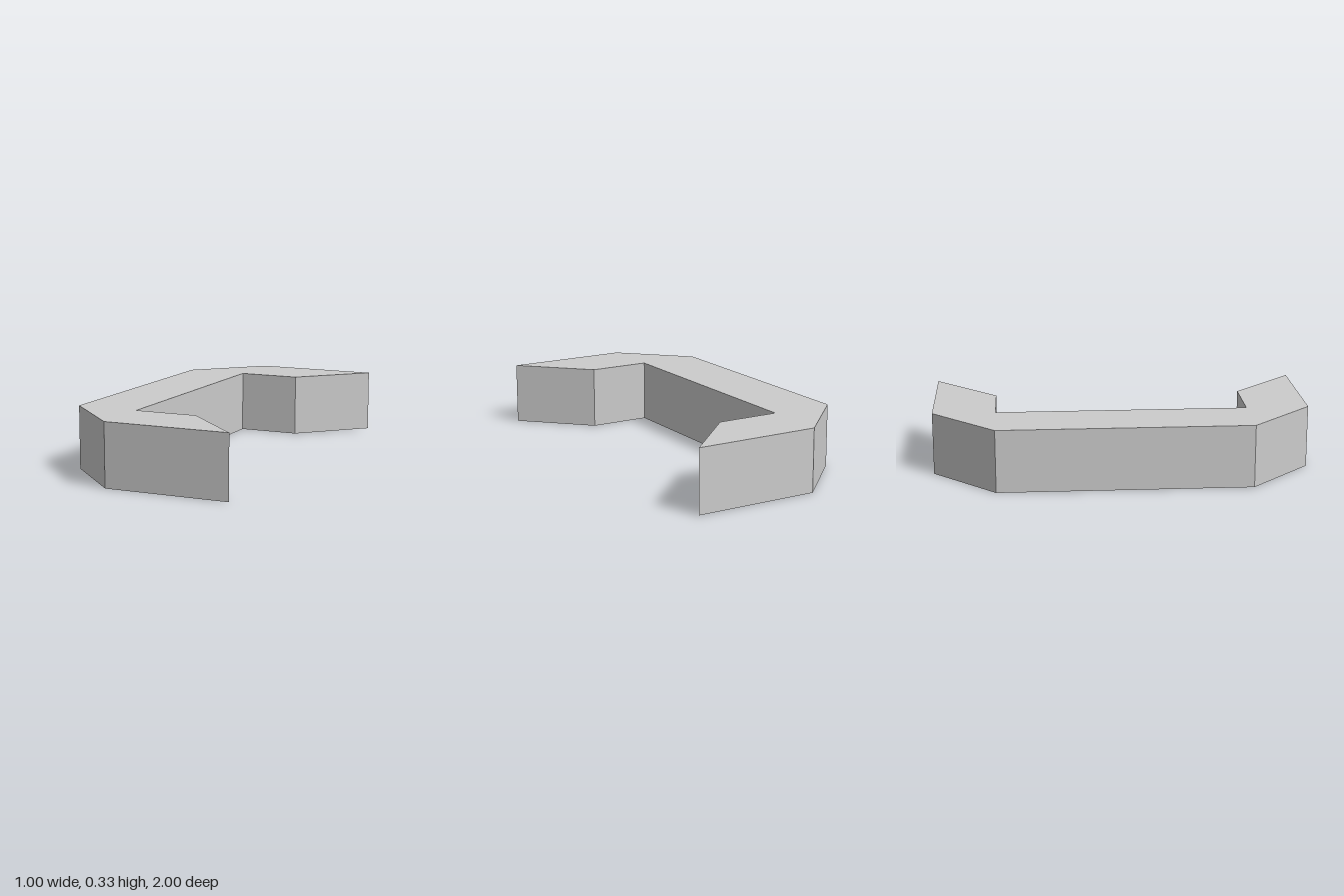
import * as THREE from 'three';

export function createModel() {
  const group = new THREE.Group();
  group.name = 'bracket';
  const t = 1 / 3; // bar thickness and height

  // Half outline of the C from outer corner to inner corner, as [x, z]
  const half = [[-0.5, 2 * t], [t / 2 - t, 1], [0.5, 1], [t / 2, 2 * t], [-t / 2, 2 * t]];
  const mirrored = half.map(([x, z]) => [x, -z]).reverse();
  const outline = [...half, ...mirrored].map(([x, z]) => new THREE.Vector2(x, z));

  // Flat C plate with chamfered corners and mitred ends, laid on the ground
  const geometry = new THREE.ExtrudeGeometry(new THREE.Shape(outline), {
    depth: t,
    bevelEnabled: false,
  });
  geometry.rotateX(-Math.PI / 2);

  const material = new THREE.MeshStandardMaterial({ color: 0xcccccc, flatShading: true });
  const bar = new THREE.Mesh(geometry, material);
  bar.name = 'cShapedBar';
  group.add(bar);
  return group;
}
